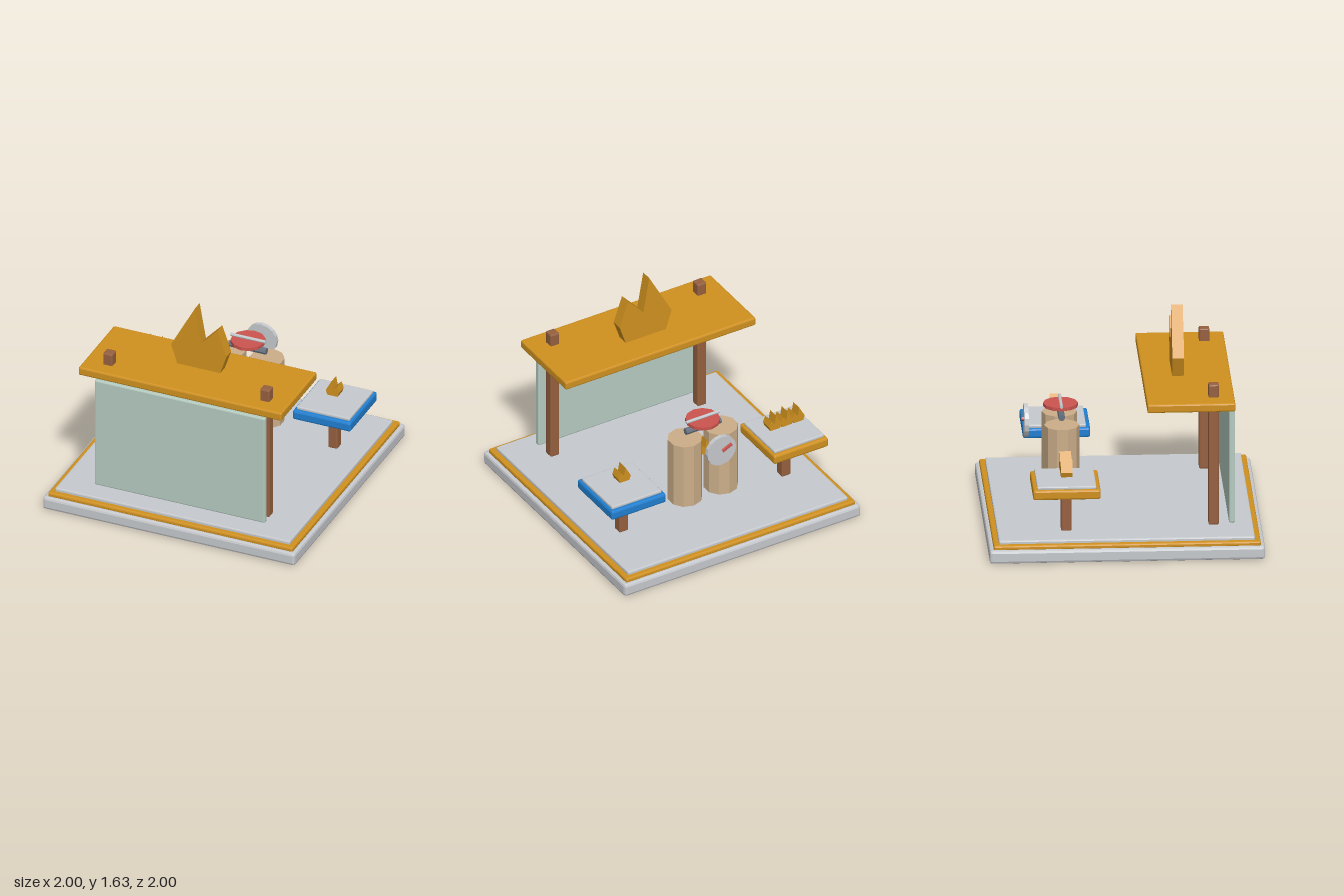
import * as THREE from 'three';
import { RoundedBoxGeometry } from 'three/addons/geometries/RoundedBoxGeometry.js';

const mat = (name, color, flatShading = true) => {
  const m = new THREE.MeshStandardMaterial({ color, flatShading });
  m.name = name;
  return m;
};

export function createModel() {
  const silver = mat('silver', 0xc6c9cd);
  const gold = mat('gold', 0xd0911f);
  const blue = mat('blue', 0x1f7fd0);
  const brown = mat('brown wood', 0x96603f);
  const glass = mat('pale green glass', 0xb5cbc0);
  const tan = mat('light wood', 0xccae8a);
  const red = mat('red', 0xcc544e);
  const steel = mat('dark steel', 0x66717f);

  const model = new THREE.Group();
  model.name = 'stand';

  const add = (name, geometry, material, x, y, z, parent = model) => {
    const mesh = new THREE.Mesh(geometry, material);
    mesh.name = name;
    mesh.position.set(x, y, z);
    parent.add(mesh);
    return mesh;
  };

  // Box with softened edges, given by its lower and upper height
  const slab = (name, material, w, d, y0, y1, x, z, r = 0.012, parent = model) => {
    const g = new RoundedBoxGeometry(w, y1 - y0, d, 1, r);
    g.computeVertexNormals();
    return add(name, g, material, x, (y0 + y1) / 2, z, parent);
  };

  // Two-pointed flame cut-out standing on y
  const outline = [[-0.17, 0], [0.17, 0], [0.22, 0.15], [0.15, 0.355], [0.02, 0.215], [-0.03, 0.5], [-0.22, 0.15]];
  const flame = (name, scale, x, y, z, parent = model) => {
    const shape = new THREE.Shape(outline.map(([u, v]) => new THREE.Vector2(u * scale, v * scale)));
    const g = new THREE.ExtrudeGeometry(shape, { depth: 0.085, bevelEnabled: false });
    g.translate(0, 0, -0.0425);
    return add(name, g, gold, x, y, z, parent);
  };

  // Stepped floor
  slab('base', silver, 2, 2, 0, 0.1, 0, 0, 0.02);
  slab('goldTrim', gold, 1.94, 1.94, 0.09, 0.13, 0, 0);
  slab('floor', silver, 1.86, 1.86, 0.12, 0.155, 0, 0, 0.01);

  // Canopy with posts, front panel and large flame
  const canopy = new THREE.Group();
  canopy.name = 'canopy';
  model.add(canopy);
  for (const s of [-1, 1]) slab('canopyPost', brown, 0.075, 0.075, 0.155, 1.23, s * 0.622, 0.645, 0.01, canopy);
  slab('canopyRoof', gold, 1.61, 0.64, 1.07, 1.135, 0, 0.475, 0.012, canopy);
  slab('frontPanel', glass, 1.35, 0.045, 0.175, 1.06, 0, 0.777, 0.01, canopy);
  flame('canopyFlame', 1, 0, 1.135, 0.412, canopy);

  // Side tables, one flame on the left and three on the right
  const table = (name, edge, x, flames) => {
    const t = new THREE.Group();
    t.name = name;
    model.add(t);
    slab('tableLeg', brown, 0.075, 0.075, 0.15, 0.47, x, -0.43, 0.01, t);
    slab('tableEdge', edge, 0.46, 0.49, 0.455, 0.53, x, -0.435, 0.015, t);
    slab('tableTop', silver, 0.42, 0.43, 0.525, 0.552, x, -0.435, 0.008, t);
    flames.forEach((dx) => flame('tableFlame', 0.24, x + dx, 0.6, -0.432, t));
  };
  table('leftTable', blue, 0.687, [0]);
  table('rightTable', gold, -0.687, [-0.098, 0, 0.098]);

  // Pair of logs with a small flame between
  for (const s of [-1, 1]) {
    add('log', new THREE.CylinderGeometry(0.128, 0.128, 0.525, 10), tan, s * 0.151, 0.5075, -0.432);
  }
  flame('logFlame', 0.24, 0, 0.6, -0.432);

  // Red plate between two rods
  const rod = (name, r, length, material, y) => {
    const m = add(name, new THREE.CylinderGeometry(r, r, length, 8), material, 0, y, -0.432);
    m.rotation.z = Math.PI / 2;
  };
  rod('lowerRod', 0.025, 0.295, steel, 0.82);
  add('redPlate', new THREE.CylinderGeometry(0.127, 0.127, 0.025, 12), red, 0, 0.876, -0.432);
  rod('upperRod', 0.012, 0.28, silver, 0.898);

  // Round dial with a pointer on its back
  const dial = add('dial', new THREE.CylinderGeometry(0.122, 0.122, 0.032, 16), silver, 0, 0.757, -0.684);
  dial.rotation.x = Math.PI / 2;
  const pointer = add('dialPointer', new THREE.BoxGeometry(0.085, 0.017, 0.02), red, -0.04, 0.78, -0.709);
  pointer.rotation.z = -0.46;

  return model;
}
